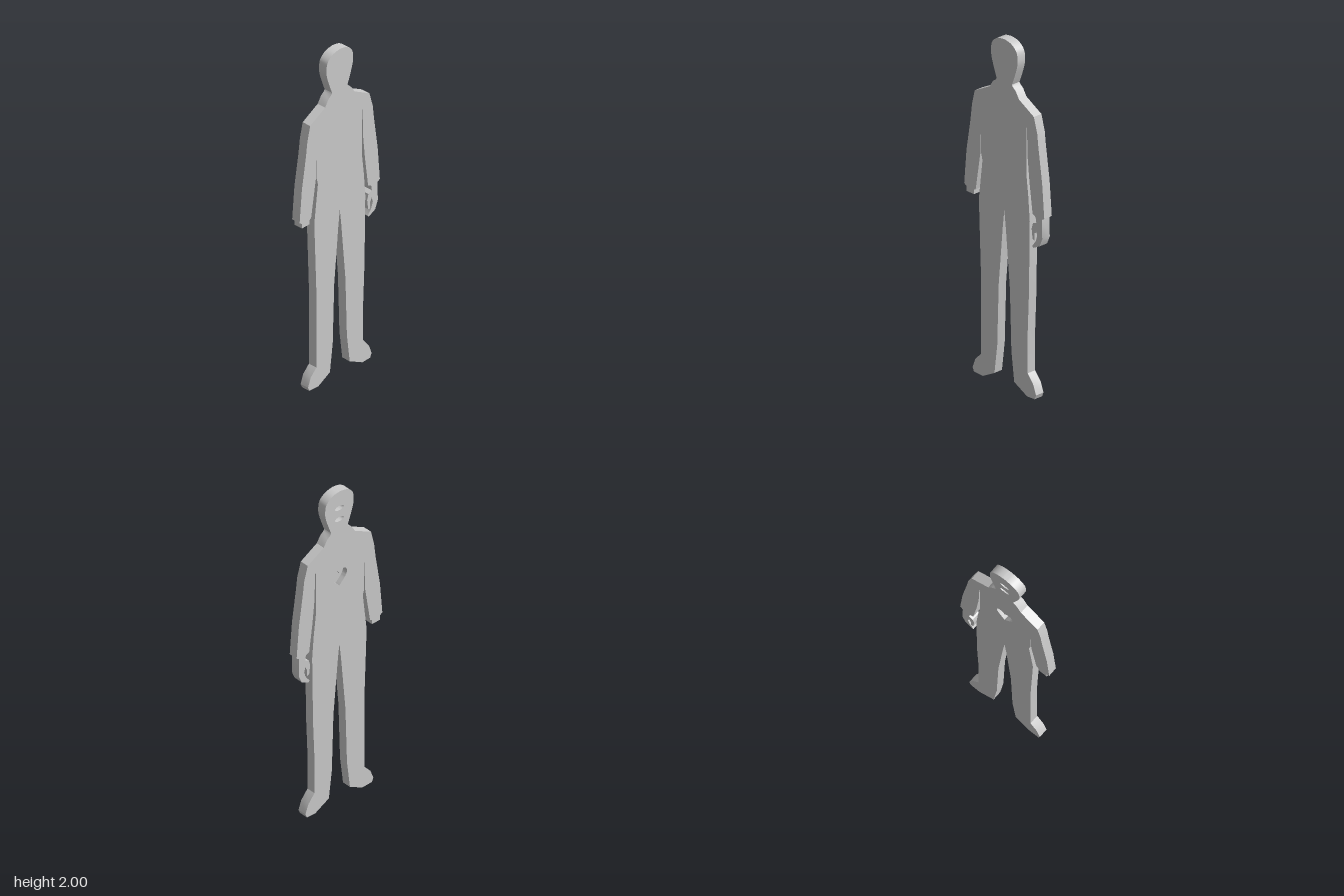
import * as THREE from 'three';
import { mergeGeometries, toCreasedNormals } from 'three/addons/utils/BufferGeometryUtils.js';

const HALF = 0.027;      // half thickness of the cutout
const FLOOR = 0.003;     // z of the pocket floors, cut in from the back
const V = ([x, y]) => new THREE.Vector2(x, y);
const mirrored = (pts) => pts.map(([x, y]) => [-x, y]).reverse();

// Half of the head, crown to jaw, smoothed by a spline
function headHalf() {
  const pts = [[0, 2], [0.05, 1.99], [0.09, 1.957], [0.1, 1.91], [0.095, 1.865], [0.074, 1.8], [0.058, 1.757]];
  return new THREE.SplineCurve(pts.map(V)).getPoints(24).map((p) => [p.x, p.y]);
}

// Neck and shoulder
const shoulder = [[0.063, 1.747], [0.085, 1.73], [0.11, 1.69], [0.222, 1.628]];

// Left arm with the open hand, from the outer shoulder round to the armpit
const leftArm = [
  [0.247, 1.54], [0.255, 1.47], [0.284, 1.265], [0.3, 1.067], [0.282, 1.055],
  [0.285, 0.945], [0.265, 0.897], [0.217, 0.872], [0.21, 0.882], [0.235, 0.915],
  [0.247, 0.95], [0.24, 0.98], [0.228, 0.96], [0.228, 0.917], [0.212, 0.922],
  [0.205, 0.98], [0.215, 1.013], [0.24, 1.024], [0.235, 1.055], [0.212, 1.067],
  [0.189, 1.24], [0.175, 1.38], [0.17, 1.555],
];

// Left flank, leg and foot, from the armpit to the crotch
const leftSide = [
  [0.165, 1.545], [0.165, 1.285], [0.18, 1.155], [0.191, 1.015], [0.185, 0.6],
  [0.175, 0.36], [0.175, 0.134], [0.218, 0.082], [0.238, 0.028], [0.228, 0.003],
  [0.17, 0], [0.074, 0.05], [0.053, 0.22], [0.042, 0.575], [0.011, 0.92], [0, 1.015],
];

// Right leg and flank, from the crotch to the armpit
const rightSide = [
  [-0.011, 0.92], [-0.042, 0.575], [-0.053, 0.22], [-0.074, 0.05], [-0.16, 0.003],
  [-0.228, 0.005], [-0.238, 0.028], [-0.218, 0.082], [-0.175, 0.125], [-0.175, 0.575],
  [-0.191, 1.015], [-0.164, 1.245], [-0.174, 1.285], [-0.174, 1.54],
];

// Right arm ending in a short stub below the cuff
const rightArm = [
  [-0.17, 1.55], [-0.177, 1.385], [-0.18, 1.28], [-0.215, 1.06], [-0.228, 1.052],
  [-0.228, 1.027], [-0.284, 1.027], [-0.284, 1.055], [-0.301, 1.067],
  [-0.284, 1.265], [-0.254, 1.45], [-0.243, 1.54],
];

function outlinePoints() {
  const head = headHalf();
  const all = [...head, ...shoulder, ...leftArm, ...leftSide, ...rightSide, ...rightArm,
    ...mirrored(shoulder), ...mirrored(head).slice(0, -1)];
  return all.map(V).reverse(); // counter-clockwise
}

function ovalPoints(cy, rx, ry) {
  return new THREE.EllipseCurve(0, cy, rx, ry).getPoints(28).slice(0, -1);
}

function heartPoints(cy, w, h) {
  const s = new THREE.Shape();
  s.moveTo(0, cy - h * 0.55);
  s.bezierCurveTo(w * 0.2, cy - h * 0.3, w * 0.5, cy - h * 0.1, w * 0.5, cy + h * 0.18);
  s.bezierCurveTo(w * 0.5, cy + h * 0.55, w * 0.08, cy + h * 0.55, 0, cy + h * 0.25);
  s.bezierCurveTo(-w * 0.08, cy + h * 0.55, -w * 0.5, cy + h * 0.55, -w * 0.5, cy + h * 0.18);
  s.bezierCurveTo(-w * 0.5, cy - h * 0.1, -w * 0.2, cy - h * 0.3, 0, cy - h * 0.55);
  return s.getPoints(10).slice(0, -1);
}

// Flat face at depth z, turned to the front or to the back
function face(points, z, back, holes = []) {
  const shape = new THREE.Shape(points);
  shape.holes = holes.map((h) => new THREE.Path(h));
  const g = new THREE.ShapeGeometry(shape);
  if (back) g.setIndex(Array.from(g.index.array).reverse());
  const flat = g.toNonIndexed().translate(0, 0, z);
  flat.deleteAttribute('uv');
  flat.computeVertexNormals();
  return flat;
}

// Wall along a closed outline; counter-clockwise faces out, clockwise faces in
function wall(points, z0, z1) {
  const pos = [];
  points.forEach((a, i) => {
    const b = points[(i + 1) % points.length];
    pos.push(a.x, a.y, z0, b.x, b.y, z0, b.x, b.y, z1);
    pos.push(a.x, a.y, z0, b.x, b.y, z1, a.x, a.y, z1);
  });
  const g = new THREE.BufferGeometry();
  g.setAttribute('position', new THREE.Float32BufferAttribute(pos, 3));
  return toCreasedNormals(g, 0.45);
}

export function createModel() {
  const group = new THREE.Group();
  const material = new THREE.MeshStandardMaterial({ color: 0xcccccc });
  const add = (name, parts) => {
    const mesh = new THREE.Mesh(mergeGeometries(parts), material);
    mesh.name = name;
    group.add(mesh);
  };

  const outline = outlinePoints();
  const pockets = {
    upperOvalPocket: ovalPoints(1.893, 0.03, 0.014),
    lowerOvalPocket: ovalPoints(1.822, 0.03, 0.014),
    heartPocket: heartPoints(1.445, 0.105, 0.1),
  };

  // Figure: plain front, rim, and a back opened for the pockets
  add('figureCutout', [
    face(outline, HALF, false),
    face(outline, -HALF, true, Object.values(pockets)),
    wall(outline, -HALF, HALF),
  ]);

  // Blind pockets in the back
  for (const [name, pts] of Object.entries(pockets)) {
    add(name, [face(pts, FLOOR, true), wall([...pts].reverse(), -HALF, FLOOR)]);
  }
  return group;
}
